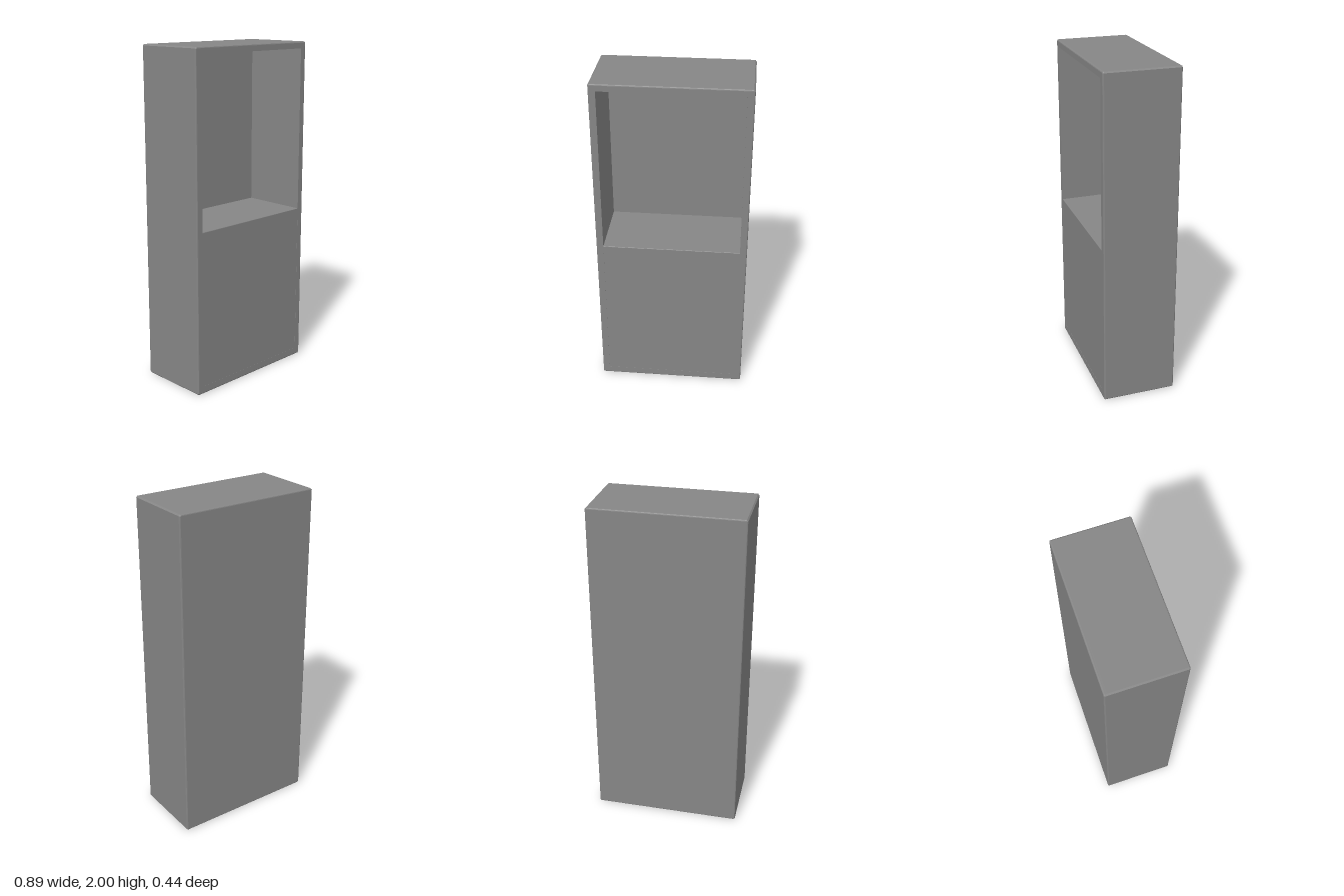
import * as THREE from 'three';

const W = 0.444, D = 0.222, H = 2;           // half width, half depth, height
const IN = 0.403, LOW = 0.046, TOP = 1.96;   // inner opening
const SHELF = 0.98;                          // top of the closed lower half
const material = new THREE.MeshStandardMaterial({ color: 0x868686, flatShading: true, side: THREE.DoubleSide });

// Rectangle outline with clipped corners
function outline(Type, x, y0, y1, c) {
  const path = new Type();
  path.moveTo(-x + c, y0);
  [[x - c, y0], [x, y0 + c], [x, y1 - c], [x - c, y1], [-x + c, y1], [-x, y1 - c], [-x, y0 + c]]
    .forEach(([px, py]) => path.lineTo(px, py));
  path.closePath();
  return path;
}

// Board between two depths with softened edges that stay inside the outline
function board(name, shape, z0, z1, bevel) {
  const geometry = new THREE.ExtrudeGeometry(shape, {
    depth: z1 - z0 - 2 * bevel, bevelEnabled: true, bevelSegments: 3,
    bevelThickness: bevel, bevelSize: bevel, bevelOffset: -bevel,
  });
  geometry.translate(0, 0, z0 + bevel);
  const mesh = new THREE.Mesh(geometry, material);
  mesh.name = name;
  return mesh;
}

// Pull the bevel of the opening back to a sharp edge
function sharpenOpening(geometry) {
  const p = geometry.attributes.position;
  const clamp = THREE.MathUtils.clamp;
  for (let i = 0; i < p.count; i++) {
    const x = p.getX(i), y = p.getY(i);
    if (Math.abs(x) < IN + 0.012 && y > LOW - 0.012 && y < TOP + 0.012) {
      p.setXY(i, clamp(x, -IN, IN), clamp(y, LOW, TOP));
    }
  }
  geometry.computeVertexNormals();
}

export function createModel() {
  const group = new THREE.Group();
  group.name = 'cabinet';

  // Outer frame: sides, top and bottom around the opening
  const frameShape = outline(THREE.Shape, W, 0, H, 0.008);
  frameShape.holes.push(outline(THREE.Path, IN, LOW, TOP, 0.002));
  const frame = board('frame', frameShape, -0.21, D, 0.008);
  sharpenOpening(frame.geometry);
  group.add(frame);

  // Back panel, its inner face forming the rear of the niche
  group.add(board('backPanel', outline(THREE.Shape, W, 0, H, 0.008), -D, -0.18, 0.008));

  // Shelf that floors the open upper niche
  const shelf = new THREE.Mesh(new THREE.BoxGeometry(2 * IN, 0.04, 0.385), material);
  shelf.name = 'shelf';
  shelf.position.set(0, SHELF - 0.02, 0.0105);
  group.add(shelf);

  // Door closing the lower half, flush with the frame and let into its sides
  const door = outline(THREE.Shape, IN + 0.004, LOW - 0.004, SHELF, 0.001);
  group.add(board('door', door, 0.18, D - 0.001, 0.004));

  return group;
}
